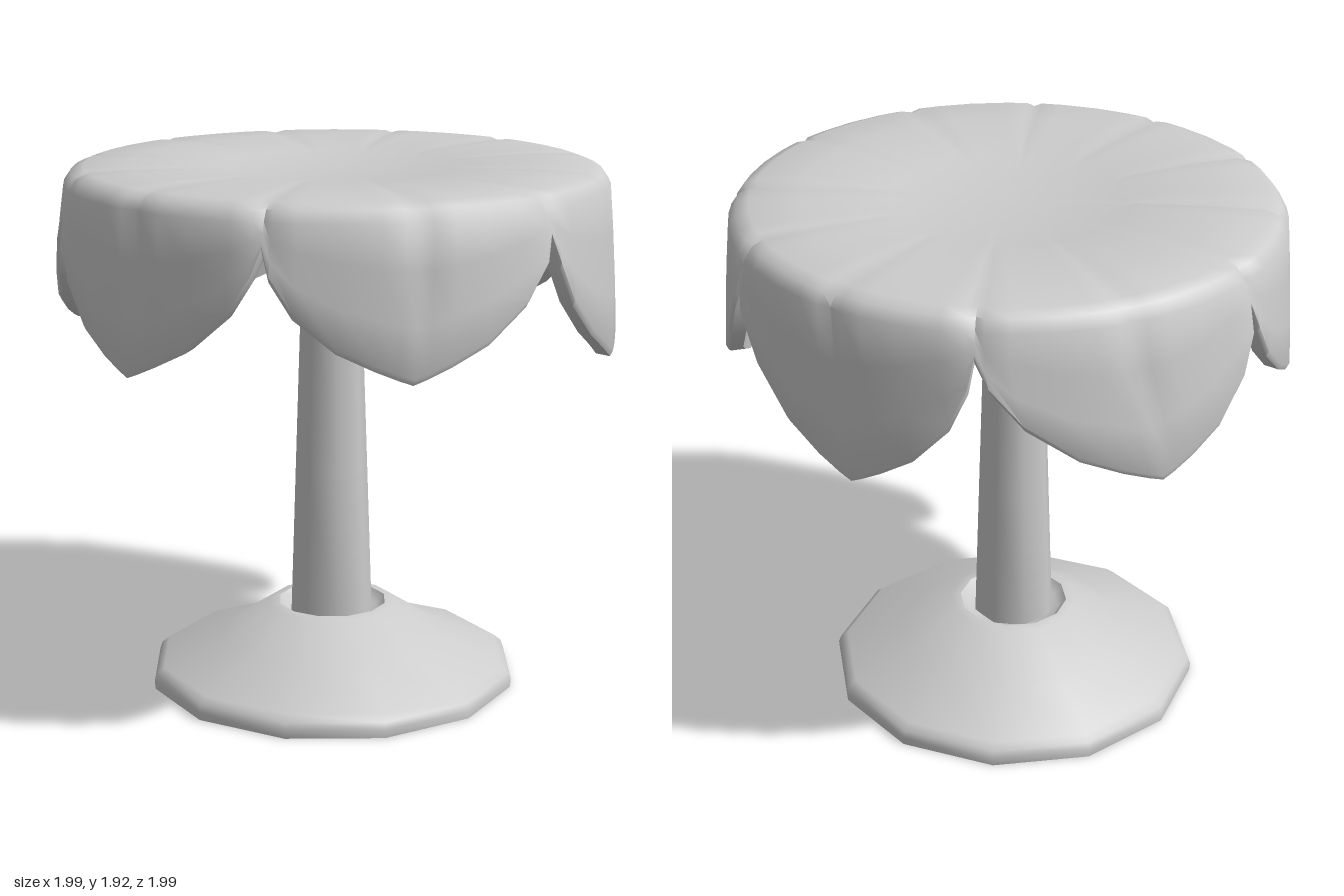
import * as THREE from 'three';
import { toCreasedNormals } from 'three/addons/utils/BufferGeometryUtils.js';

const clay = new THREE.MeshStandardMaterial({ color: 0xcccccc });
clay.name = 'pale grey';

// Petals going round from +x towards +z: tip height, sideways lean (radians), flare
const PETALS = [
  { tip: 1.27, lean: 0, flare: 0 },
  { tip: 1.34, lean: 0.03, flare: 0 },
  { tip: 1.3, lean: 0.02, flare: -0.01 },
  { tip: 1.31, lean: 0, flare: 0 },
  { tip: 1.3, lean: -0.1, flare: 0.03 },
  { tip: 1.25, lean: -0.06, flare: -0.03 },
];
// Samples across half a petal (0 crease, 1 seam) with the hem's drop from seam to tip
const HEM = [[0, 1], [0.09, 0.96], [0.25, 0.88], [0.5, 0.74], [0.78, 0.48], [0.94, 0.2], [1, 0]];
const SEAM_Y = 1.76;

// One radial cross-section: top centre -> shoulder -> hem -> underside centre
function section(k, s, drop) {
  const { tip, flare } = PETALS[k];
  const hem = SEAM_Y - (SEAM_Y - tip) * drop;
  const seam = s === 1 ? 1 : 0;
  const crease = s === 0 ? 1 : 0;
  const groove = crease * (k % 3 === 0 ? 0.014 : 0.006) + seam * 0.005;
  const dent = 0.02 * seam + 0.015 * crease;
  const out = flare * drop - 0.02 * seam;
  const wall = (f) => 1.86 + (hem - 1.86) * f;
  return [
    [0, 1.904],
    [0.4, 1.904],
    [0.44, 1.914 - groove * 0.3],
    [0.72, 1.922 - groove],
    [0.89 - dent, 1.917 - groove],
    [0.935 - dent, 1.9 - groove],
    [0.962 - dent, 1.86],
    [0.975 - dent + flare * drop * 0.3, wall(0.3)],
    [0.987 + out * 0.7, wall(0.65)],
    [0.995 + out, hem + 0.02],
    [0.985 + out, hem],
    [0.935 + out, hem + 0.008],
    [0.905 + out * 0.5, hem + (1.77 - hem) * 0.5],
    [0.88, 1.772],
    [0, 1.772],
  ];
}

// Draped flower top made by joining the cross-sections in a ring
function flowerGeometry() {
  const across = [...HEM.slice(1).reverse().map(([s, d]) => [-s, d]), ...HEM.slice(0, -1)];
  const rows = section(0, 0, 1).length;
  const cols = PETALS.length * across.length;
  const pos = [], idx = [];
  PETALS.forEach(({ lean }, k) => {
    for (const [t, drop] of across) {
      section(k, Math.abs(t), drop).forEach(([r, y]) => {
        // the lean grows towards the hem
        const low = Math.max(0, (SEAM_Y - y) / (SEAM_Y - 1.3));
        const a = (k + t / 2) * Math.PI / 3 + lean * low;
        pos.push(r * Math.cos(a), y, r * Math.sin(a));
      });
    }
  });
  for (let c = 0; c < cols; c++) {
    const p = c * rows, q = ((c + 1) % cols) * rows;
    for (let j = 0; j < rows - 1; j++) {
      if (j > 0) idx.push(p + j, q + j, p + j + 1);
      if (j < rows - 2) idx.push(q + j, q + j + 1, p + j + 1);
    }
  }
  const g = new THREE.BufferGeometry();
  g.setAttribute('position', new THREE.Float32BufferAttribute(pos, 3));
  g.setIndex(idx);
  return toCreasedNormals(g, 0.9);
}

function turned(points, sides, start, crease) {
  const g = new THREE.LatheGeometry(points.map(([x, y]) => new THREE.Vector2(x, y)), sides, start);
  return toCreasedNormals(g, crease);
}

export function createModel() {
  const model = new THREE.Group();
  model.name = 'flowerTable';
  const add = (name, geometry, x = 0, z = 0) => {
    const mesh = new THREE.Mesh(geometry, clay);
    mesh.name = name;
    mesh.position.set(x, 0, z);
    model.add(mesh);
  };

  add('petalTop', flowerGeometry());

  // Tapered faceted stem
  add('stem', turned([[0.152, 0.2], [0.132, 0.8], [0.11, 1.45], [0.105, 1.79]], 8, Math.PI / 8, 0.9), -0.02);

  // Sloping foot with a rounded rim and a groove round the stem
  add('foot', turned([
    [0, 0], [0.675, 0], [0.677, 0.03], [0.668, 0.055], [0.64, 0.078], [0.42, 0.16],
    [0.235, 0.28], [0.2, 0.285], [0.17, 0.25], [0.1, 0.24],
  ], 12, 0, 1.0), -0.02, -0.01);

  return model;
}
